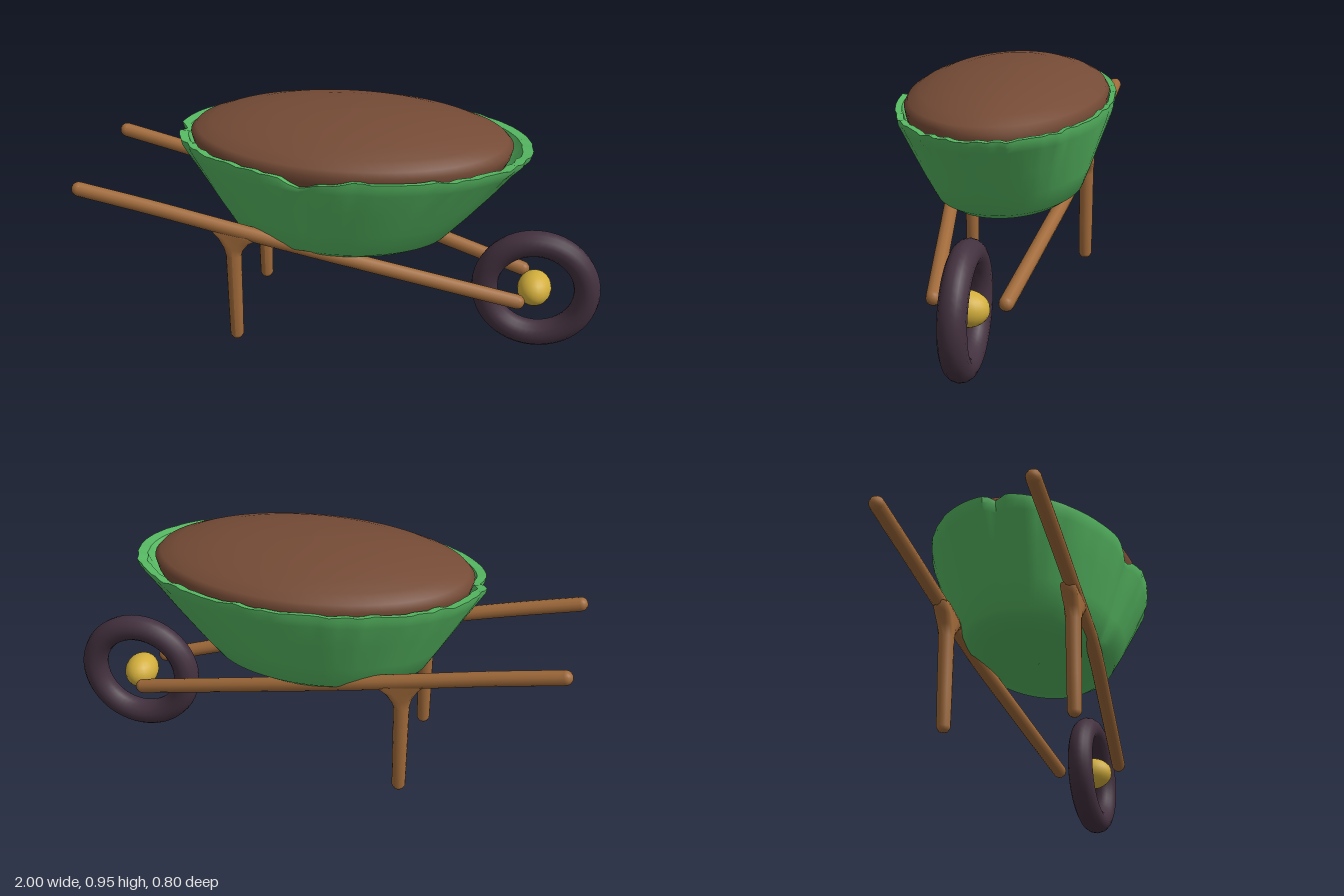
import * as THREE from 'three';
import { toCreasedNormals } from 'three/addons/utils/BufferGeometryUtils.js';

const mat = (name, color, side = THREE.FrontSide) => {
  const m = new THREE.MeshStandardMaterial({ color, side });
  m.name = name;
  return m;
};

// Tray skin: elliptical loops from underside, up the wall, over the rim and inside
function trayGeometry() {
  // y, centre x, radius x, radius z, amount of rim wear
  const rows = [
    [0.443, -0.03, 0.001, 0.001, 0], [0.445, -0.03, 0.3, 0.19, 0],
    [0.455, -0.03, 0.38, 0.245, 0], [0.482, -0.02, 0.42, 0.28, 0],
    [0.58, -0.005, 0.495, 0.318, 0.1], [0.69, 0.01, 0.575, 0.357, 0.35],
    [0.79, 0.02, 0.645, 0.392, 0.7], [0.82, 0.026, 0.667, 0.399, 0.9],
    [0.842, 0.027, 0.672, 0.4, 1], [0.838, 0.025, 0.635, 0.378, 1],
    [0.79, 0.02, 0.615, 0.365, 0.5], [0.76, 0.02, 0.58, 0.345, 0],
  ];
  const n = 120, pos = [], idx = [];
  const bump = (a, c, w) => Math.exp(-(((a - c) / w) ** 2));
  rows.forEach(([y, cx, rx, rz, wear]) => {
    for (let j = 0; j <= n; j++) {
      const a = ((j % n) / n) * Math.PI * 2;
      // torn notch with a fold below it, and a smaller nick at the handle end
      const notch = bump(a, 1.77, 0.1) + 0.35 * bump(a, 1.6, 0.06);
      const nick = bump(a, 3.08, 0.06);
      const ripple = Math.sin(a * 23) * Math.sin(a * 7 + 1) + 0.5 * Math.sin(a * 41 + 2);
      const fold = 0.035 * bump(a, 1.73, 0.07) * (y > 0.47 ? 1 : 0);
      const r = 1 - wear * (0.03 * notch + 0.04 * nick - 0.006 * ripple) - fold;
      const dy = wear ** 3 * (0.048 * notch + 0.012 * nick + 0.003 * (1 + ripple));
      pos.push(cx + rx * r * Math.cos(a), y - dy, rz * r * Math.sin(a));
    }
  });
  const w = n + 1;
  for (let i = 0; i < rows.length - 1; i++) {
    for (let j = 0; j < n; j++) {
      const p = i * w + j;
      idx.push(p, p + w, p + 1, p + 1, p + w, p + w + 1);
    }
  }
  const g = new THREE.BufferGeometry();
  g.setAttribute('position', new THREE.Float32BufferAttribute(pos, 3));
  g.setIndex(idx);
  return toCreasedNormals(g, 0.7);
}

export function createModel() {
  const model = new THREE.Group();
  const green = mat('green tray', 0x56b862, THREE.DoubleSide);
  const soilBrown = mat('brown soil', 0x754b36);
  const wood = mat('wood', 0xa06a3a);
  const rubber = mat('dark rubber', 0x43313f);
  const gold = mat('yellow hub', 0xd2ae3c);

  const add = (name, geo, material, parent = model) => {
    const m = new THREE.Mesh(geo, material);
    m.name = name;
    parent.add(m);
    return m;
  };

  add('tray', trayGeometry(), green);

  // Heaped soil
  const profile = [[0.95, 0.77], [0.985, 0.81], [1, 0.845], [0.965, 0.868], [0.86, 0.893],
    [0.7, 0.918], [0.5, 0.938], [0.25, 0.951], [0, 0.955]].map(([x, y]) => new THREE.Vector2(x, y));
  const soil = add('soil', new THREE.LatheGeometry(profile, 64), soilBrown);
  soil.scale.set(0.613, 1, 0.375);
  soil.position.x = 0.015;

  // Handles and legs, one set per side
  for (const s of [1, -1]) {
    const side = new THREE.Group();
    side.name = s > 0 ? 'frontFrame' : 'backFrame';
    model.add(side);
    const pts = [[-0.975, 0.66, 0.278], [-0.7, 0.603, 0.265], [-0.4, 0.535, 0.25], [-0.1, 0.468, 0.233],
      [0.3, 0.366, 0.182], [0.685, 0.267, 0.13]].map(([x, y, z]) => new THREE.Vector3(x, y, z * s));
    const path = new THREE.CatmullRomCurve3(pts);
    add('handle', new THREE.TubeGeometry(path, 32, 0.028, 12), wood, side);
    for (const p of [pts[0], pts[pts.length - 1]]) {
      add('handleEnd', new THREE.SphereGeometry(0.028, 12, 8), wood, side).position.copy(p);
    }

    // leg, flared along x where it meets the handle
    const leg = [[0, 0.052], [0.018, 0.054], [0.026, 0.068], [0.028, 0.2], [0.03, 0.42],
      [0.04, 0.455], [0.062, 0.488], [0.09, 0.515], [0.07, 0.53], [0, 0.535]];
    const geo = new THREE.LatheGeometry(leg.map(([x, y]) => new THREE.Vector2(x, y)), 14);
    const v = geo.attributes.position;
    for (let i = 0; i < v.count; i++) {
      const z = v.getZ(i);
      v.setZ(i, Math.max(-0.029, Math.min(0.029, z)));
      // keep the flare beneath the sloping handle
      if (v.getY(i) > 0.45) v.setY(i, v.getY(i) - v.getX(i) * 0.22);
    }
    geo.computeVertexNormals();
    add('leg', geo, wood, side).position.set(-0.39, 0, 0.243 * s);
  }

  // Wheel and hub
  add('tyre', new THREE.TorusGeometry(0.198, 0.051, 14, 48), rubber).position.set(0.745, 0.256, 0);
  const hub = add('hub', new THREE.SphereGeometry(0.066, 20, 14), gold);
  hub.scale.z = 1.28;
  hub.position.set(0.74, 0.26, 0);

  return model;
}
